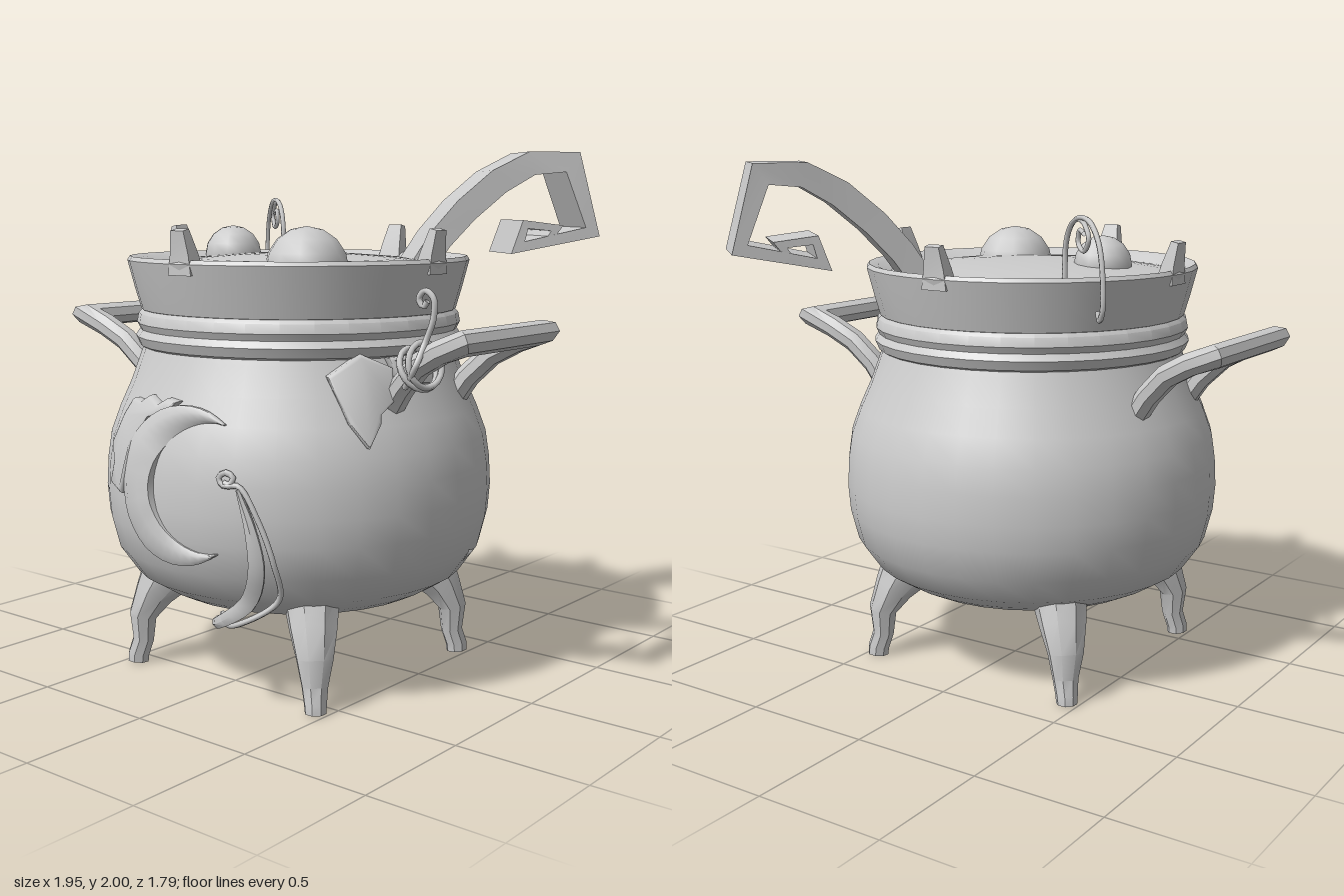
import * as THREE from 'three';
import { toCreasedNormals } from 'three/addons/utils/BufferGeometryUtils.js';

const V = (x, y, z) => new THREE.Vector3(x, y, z);
const CZ = 0.12; // pot axis offset in z
const mat = new THREE.MeshStandardMaterial({ color: 0xcccccc, side: THREE.DoubleSide });

const BODY = [[0.5, 0.32], [0.56, 0.35], [0.64, 0.4], [0.71, 0.5], [0.74, 0.62], [0.748, 0.72], [0.742, 0.83],
  [0.727, 0.93], [0.69, 1.03], [0.645, 1.13], [0.605, 1.24], [0.59, 1.28]];

// Body radius at a height
function radiusAt(y) {
  for (let i = 1; i < BODY.length; i++) {
    const [r0, y0] = BODY[i - 1], [r1, y1] = BODY[i];
    if (y <= y1) return THREE.MathUtils.lerp(r0, r1, THREE.MathUtils.clamp((y - y0) / (y1 - y0), 0, 1));
  }
  return 0.59;
}

// Point on the pot surface: u sideways, y up, d outwards, around bearing a0 from the front
function onPot(u, y, d = 0, a0 = 0) {
  const r = radiusAt(y), a = a0 + Math.asin(THREE.MathUtils.clamp(u / r, -1, 1));
  return V(Math.sin(a) * (r + d), y, CZ + Math.cos(a) * (r + d));
}
const outward = p => V(p.x, 0, p.z - CZ).normalize();

// Mitred sweep; w lies along tangent x ref, h along ref
function loft(pts, w, h, ref, sides = 8, crease = 0.7) {
  const at = (v, i) => (Array.isArray(v) ? v[i] : v);
  const pos = [], idx = [], n = pts.length;
  const grow = sides === 4 ? Math.SQRT2 : 1;
  pts.forEach((p, i) => {
    const d1 = p.clone().sub(pts[Math.max(i - 1, 0)]).normalize();
    const d2 = pts[Math.min(i + 1, n - 1)].clone().sub(p).normalize();
    const t = d1.clone().add(d2).normalize();
    const bend = d2.clone().sub(d1);
    const k = i && i < n - 1 ? Math.min(1 / Math.max(t.dot(d1), 0.1), 1.8) - 1 : 0;
    bend.normalize();
    const side = t.clone().cross(typeof ref === 'function' ? ref(p) : ref).normalize();
    const up = t.clone().cross(side);
    for (let j = 0; j < sides; j++) {
      const a = (j + 0.5) / sides * Math.PI * 2;
      const o = side.clone().multiplyScalar(Math.cos(a) * at(w, i) / 2 * grow)
        .addScaledVector(up, Math.sin(a) * at(h, i) / 2 * grow);
      o.addScaledVector(bend, o.dot(bend) * k).add(p);
      pos.push(o.x, o.y, o.z);
    }
  });
  for (let i = 0; i < n - 1; i++) for (let j = 0; j < sides; j++) {
    const a = i * sides + j, b = i * sides + (j + 1) % sides;
    idx.push(a, b, b + sides, a, b + sides, a + sides);
  }
  const c = n * sides;
  pos.push(...pts[0].toArray(), ...pts[n - 1].toArray());
  for (let j = 0; j < sides; j++) {
    const k = (j + 1) % sides;
    idx.push(c, k, j, c + 1, c - sides + j, c - sides + k);
  }
  const g = new THREE.BufferGeometry();
  g.setAttribute('position', new THREE.Float32BufferAttribute(pos, 3));
  g.setIndex(idx);
  return toCreasedNormals(g, crease);
}

const smooth = (pts, count) => new THREE.CatmullRomCurve3(pts).getPoints(count);
const vine = (pts, r) => new THREE.TubeGeometry(new THREE.CatmullRomCurve3(pts), pts.length * 5, r, 6);

// Flat outline thickened and wrapped on the pot
function wrapped(outline, a0, lift, depth, bevel = 0.012) {
  const shape = new THREE.Shape(outline.map(p => new THREE.Vector2(...p)));
  const g = new THREE.ExtrudeGeometry(shape, { depth, bevelThickness: bevel, bevelSize: bevel, bevelSegments: 2 });
  const p = g.attributes.position;
  for (let i = 0; i < p.count; i++) {
    const q = onPot(p.getX(i), p.getY(i), p.getZ(i) + lift, a0);
    p.setXYZ(i, q.x, q.y, q.z);
  }
  return toCreasedNormals(g, 0.9);
}

export function createModel() {
  const model = new THREE.Group();
  const add = (name, geo) => {
    const m = new THREE.Mesh(geo, mat);
    m.name = name;
    model.add(m);
    return m;
  };
  const lathe = (name, prof, crease = 0.6) => {
    const g = new THREE.LatheGeometry(prof.map(p => new THREE.Vector2(...p)), 32);
    add(name, toCreasedNormals(g, crease)).position.z = CZ;
  };

  // Pot
  lathe('body', BODY);
  lathe('bottom', [[0, 0.32], [0.5, 0.32]]);
  lathe('neckBand', [[0.585, 1.25], [0.612, 1.265], [0.627, 1.3], [0.61, 1.325], [0.622, 1.35], [0.615, 1.385], [0.59, 1.41]]);
  lathe('rim', [[0.58, 1.39], [0.605, 1.4], [0.628, 1.48], [0.655, 1.585], [0.645, 1.6], [0.61, 1.59], [0.545, 1.55]]);
  lathe('brew', [[0.56, 1.565], [0.4, 1.59], [0.2, 1.605], [0, 1.61]]);

  // Bubbles
  for (const [x, z, r, y] of [[-0.295, 0.17, 0.113, 1.597], [0.235, 0.355, 0.155, 1.56]]) {
    add('bubble', new THREE.SphereGeometry(r, 12, 8)).position.set(x, y, z);
  }

  // Pegs on the rim
  for (let i = 0; i < 4; i++) {
    const a = i * Math.PI / 2, dir = V(Math.sin(a), 0, Math.cos(a));
    const pts = [[0.615, 1.55], [0.625, 1.62], [0.645, 1.705]].map(([r, y]) => V(dir.x * r, y, CZ + dir.z * r));
    add('rimPeg', loft(pts, [0.11, 0.09, 0.062], [0.07, 0.05, 0.03], dir, 4));
  }

  // Legs on the diagonals
  for (let i = 0; i < 4; i++) {
    const a = Math.PI / 4 + i * Math.PI / 2, s = Math.sin(a), c = Math.cos(a);
    const pts = [[0.49, 0.4], [0.575, 0.28], [0.62, 0.19], [0.62, 0.09], [0.64, 0.03], [0.642, 0]];
    add('leg', loft(pts.map(([r, y]) => V(s * r, y, CZ + c * r)),
      [0.26, 0.16, 0.11, 0.085, 0.085, 0.085], [0.22, 0.18, 0.14, 0.1, 0.085, 0.08], V(c, 0, -s), 8));
  }

  // Side handles
  for (const s of [1, -1]) {
    const arm = [[0.57, 1.05, 0.2], [0.645, 1.16, 0.21], [0.73, 1.245, 0.23], [0.83, 1.3, 0.245], [0.925, 1.335, 0.252]];
    const pts = [...arm.map(([x, y, z]) => V(s * x, y, CZ + z)), ...arm.reverse().map(([x, y, z]) => V(s * x, y, CZ - z))];
    add(s > 0 ? 'leftHandle' : 'rightHandle', loft(pts, 0.1, 0.09, V(-0.5 * s, 0.87, 0), 8));
  }

  // Curled ladle strap rising out of the brew
  const strap = [[-0.02, 1.53], [0.07, 1.66], [0.17, 1.77], [0.3, 1.88], [0.43, 1.95], [0.59, 1.955], [0.675, 1.685],
    [0.37, 1.625], [0.4, 1.715], [0.53, 1.7], [0.5, 1.66]];
  add('strap', loft(strap.map(([s, y]) => V(0.28 + 0.647 * s, y, -0.27 - 0.762 * s)),
    [0.09, 0.095, 0.1, 0.1, 0.09, 0.075, 0.045, 0.04, 0.03, 0.03, 0.025],
    [0.21, 0.21, 0.215, 0.22, 0.235, 0.27, 0.285, 0.285, 0.28, 0.28, 0.28], V(0.762, 0, 0.647), 4));

  // Crescent between two arcs
  const mid = [], width = [];
  for (let i = 0; i <= 28; i++) {
    const t = 1 - i / 14, a = Math.PI - t * 2.19, b = Math.PI - t * 1.733;
    const o = [0.056 + 0.276 * Math.cos(a), 0.815 + 0.276 * Math.sin(a)];
    const n = [0.178 + 0.228 * Math.cos(b), 0.815 + 0.228 * Math.sin(b)];
    mid.push(onPot((o[0] + n[0]) / 2, (o[1] + n[1]) / 2, 0.005));
    width.push(Math.max(0.006, Math.hypot(o[0] - n[0], o[1] - n[1])));
  }
  add('crescent', loft(mid, width, width.map(w => 0.02 + w * 0.25), outward, 8, 0.9));

  // Leaves and a raised shard on the body
  add('frontLeaf', wrapped([[0, 1.1], [-0.03, 1.075], [-0.12, 1.05], [-0.18, 0.95], [-0.2, 0.85], [-0.225, 0.77],
    [-0.29, 0.79], [-0.27, 0.86], [-0.3, 0.93], [-0.265, 1.03], [-0.235, 1.08], [-0.18, 1.075], [-0.14, 1.1],
    [-0.08, 1.075], [-0.04, 1.1]].reverse(), 0, -0.01, 0.03));
  add('sideLeaf', wrapped([[0, 1.265], [-0.11, 1.2], [-0.075, 1.1], [-0.06, 1.05], [-0.015, 0.98], [0.03, 1.05],
    [0.035, 1.08], [0.09, 1.12], [0.1, 1.22]], 1.05, 0, 0.025));
  add('smallLeaf', wrapped([[-0.15, 1.25], [-0.13, 1.18], [0.02, 1.17], [0.12, 1.23], [0, 1.25]], 1.5, 0, 0.02));
  add('shard', wrapped([[-0.05, 0.51], [0.01, 0.33], [0.04, 0.36]], 1.87, -0.02, 0.03, 0.004));

  // Front tendrils
  add('frontTendril', vine([onPot(0.25, 0.85, 0.01), onPot(0.27, 0.845, 0.01), onPot(0.28, 0.87, 0.01),
    onPot(0.25, 0.885, 0.01), onPot(0.23, 0.865, 0.01), onPot(0.25, 0.84, 0.01), onPot(0.3, 0.84, 0.01),
    onPot(0.365, 0.73, 0.015), onPot(0.4, 0.58, 0.03), onPot(0.37, 0.43, 0.04), V(0.25, 0.33, 0.76),
    V(0.13, 0.305, 0.7), V(0.05, 0.3, 0.62)], 0.011));
  const blade = smooth([onPot(0.3, 0.83, 0.01), onPot(0.345, 0.68, 0.02), onPot(0.345, 0.54, 0.03),
    onPot(0.27, 0.41, 0.05), V(0.18, 0.33, 0.78), V(0.07, 0.3, 0.66)], 20);
  add('frontBlade', loft(blade, blade.map((_, i) => 0.015 + 0.055 * Math.sin(i / 20 * Math.PI)), 0.03, outward, 6));

  // Tendril wound on the left handle
  for (const [x, y, tilt] of [[0.725, 1.235, 0.5], [0.755, 1.25, 0.2]]) {
    const ring = add('handleRing', new THREE.TorusGeometry(0.078, 0.012, 6, 20));
    ring.position.set(x, y, 0.35);
    ring.rotation.set(0, Math.PI / 2 - 0.2, tilt, 'ZYX');
  }
  add('handleTendril', vine([V(0.7, 1.17, 0.39), V(0.77, 1.25, 0.43), V(0.775, 1.33, 0.38), V(0.8, 1.41, 0.37),
    V(0.8, 1.48, 0.37), V(0.765, 1.505, 0.37), V(0.74, 1.475, 0.37), V(0.76, 1.45, 0.37), V(0.775, 1.47, 0.37)], 0.011));

  // Looping tendril at the back of the rim
  const back = pts => pts.map(([x, y]) => V(x, y, -0.2 + (x + 0.35) * 0.79));
  add('rimTendril', vine(back([[-0.35, 1.56], [-0.355, 1.7], [-0.39, 1.77], [-0.45, 1.805], [-0.54, 1.8],
    [-0.61, 1.73], [-0.64, 1.62], [-0.64, 1.5], [-0.62, 1.47], [-0.61, 1.5]]), 0.01));
  add('rimCurl', vine(back([[-0.45, 1.805], [-0.5, 1.79], [-0.535, 1.74], [-0.5, 1.695], [-0.455, 1.72],
    [-0.465, 1.765], [-0.5, 1.755]]), 0.009));

  return model;
}
